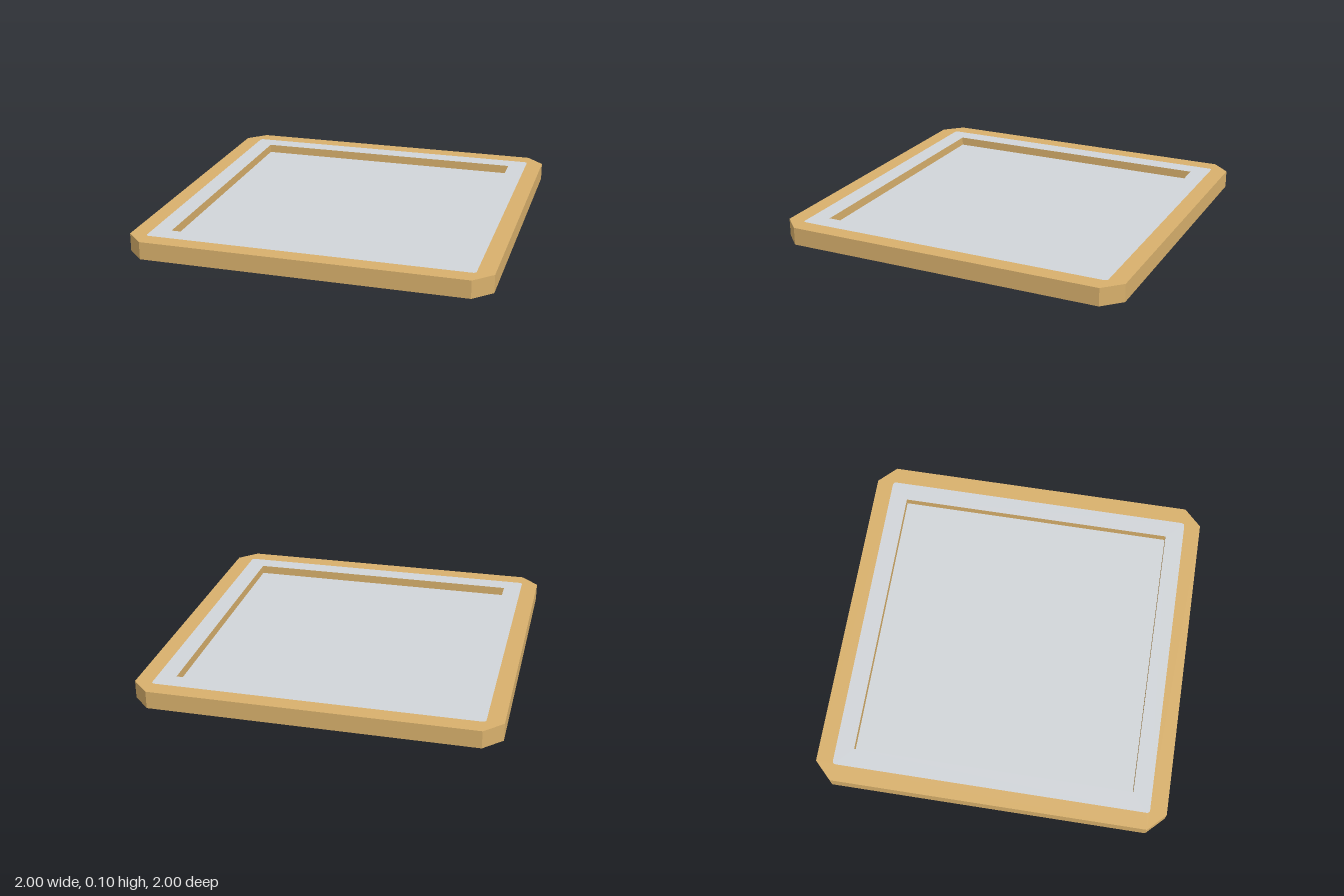
import * as THREE from 'three';

const HEIGHT = 0.1;

// Square outline whose corners are cut straight or rounded
function squarePath(path, half, corner, rounded) {
  const h = half, k = half - corner;
  const turns = [[h, h, k, h], [-h, h, -h, k], [-h, -h, -k, -h], [h, -h, h, -k]];
  const edges = [null, [-k, h], [-h, -k], [k, -h]];
  path.moveTo(h, k);
  turns.forEach(([cx, cy, x, y], i) => {
    if (edges[i]) path.lineTo(...edges[i]);
    if (rounded) path.quadraticCurveTo(cx, cy, x, y);
    else path.lineTo(x, y);
  });
  path.closePath();
  return path;
}

// Plain square outline
function plainSquare(path, h) {
  path.moveTo(h, h);
  path.lineTo(-h, h);
  path.lineTo(-h, -h);
  path.lineTo(h, -h);
  path.closePath();
  return path;
}

// Flat ring standing on y = 0
function ringGeometry(outline, hole) {
  outline.holes.push(hole);
  const geometry = new THREE.ExtrudeGeometry(outline, {
    depth: HEIGHT, bevelEnabled: false, curveSegments: 4,
  });
  return geometry.rotateX(-Math.PI / 2);
}

function addMesh(group, name, geometry, material) {
  const mesh = new THREE.Mesh(geometry, material);
  mesh.name = name;
  group.add(mesh);
}

export function createModel() {
  const gold = new THREE.MeshStandardMaterial({ color: 0xd8b06c });
  gold.name = 'gold';
  const silver = new THREE.MeshStandardMaterial({ color: 0xd1d5d9, side: THREE.DoubleSide });
  silver.name = 'silver';

  const model = new THREE.Group();
  model.name = 'framedPanel';

  // Outer rim with chamfered corners
  addMesh(model, 'outerRim', ringGeometry(
    squarePath(new THREE.Shape(), 1, 0.1, false),
    squarePath(new THREE.Path(), 0.905, 0.02, true),
  ), gold);

  // Inner border: silver faces, gold walls down to the recess
  addMesh(model, 'innerBorder', ringGeometry(
    squarePath(new THREE.Shape(), 0.905, 0.02, true),
    plainSquare(new THREE.Path(), 0.8),
  ), [silver, gold]);

  // Thin panel set midway, recessed on both sides
  const panel = new THREE.PlaneGeometry(1.6, 1.6);
  panel.rotateX(-Math.PI / 2).translate(0, HEIGHT / 2, 0);
  addMesh(model, 'recessedPanel', panel, silver);

  return model;
}
